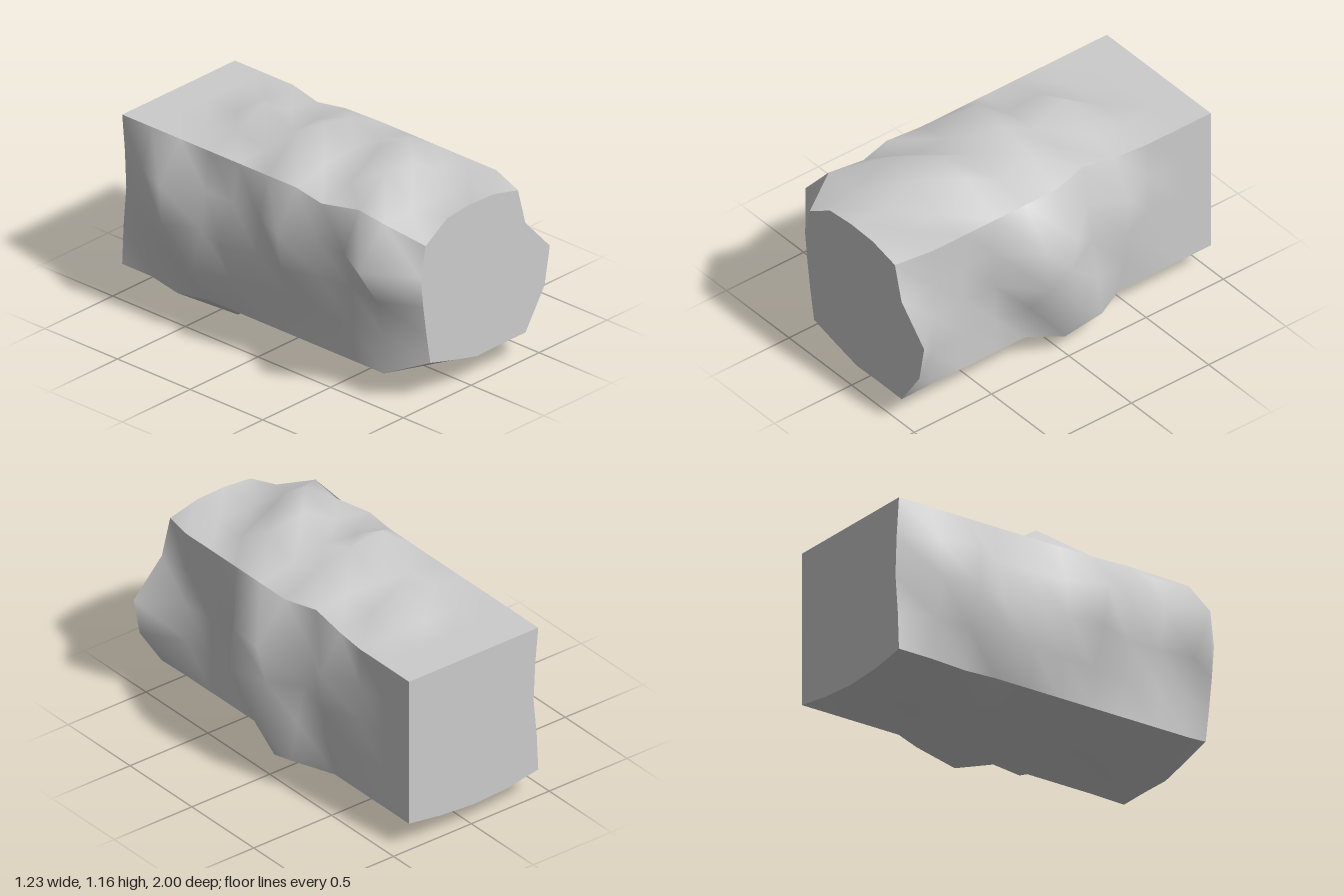
import * as THREE from 'three';

const ROWS = 10, COLS = 4;

// Bulge heights of each side: one triple per row, from the front row to the back row
const SIDES = {
  rightSide: [
    [0.155, 0.207, 0.04], [0, 0, 0], [0, 0, 0], [0, 0, 0], [0.04, 0.21, 0.17], [0.14, 0.09, 0.165],
    [0, 0, 0], [0.06, 0.1, 0.12], [0, 0, 0], [0, 0, 0], [0, 0, 0]],
  topSide: [
    [0.06, 0.083, 0.084], [0, 0, 0], [0.01, 0.115, 0.14], [0.13, 0.155, 0.04], [0.04, 0.07, 0.05], [0.1, 0.145, 0.17],
    [0.02, 0.02, 0.01], [0.03, 0.13, 0.04], [0, 0, 0], [0, 0, 0], [0, 0, 0]],
  leftSide: [
    [0.045, 0.035, 0.02], [0.185, 0.05, 0], [0.1, 0.04, 0.02], [0.04, 0.02, 0], [0.145, 0.11, 0.02], [0.06, 0.08, 0.04],
    [0.04, 0.135, 0.06], [0.03, 0.06, 0.125], [0.15, 0.13, 0.05], [0.07, 0.1, 0.05], [-0.02, -0.03, -0.01]],
  bottomSide: [
    [0.025, 0.045, 0.02], [0.01, 0.02, 0.01], [0.08, 0.135, 0.07], [0.01, 0.03, 0.02], [0.05, 0.1, 0.14], [0.05, 0.07, 0.05],
    [0.05, 0.08, 0.04], [0.155, 0.08, 0.03], [0.04, 0.085, 0.05], [0.03, 0.07, 0.11], [0.035, 0.045, 0.03]],
};
const NAMES = Object.keys(SIDES);

// Corners of the block, counter-clockwise from the bottom right, with the shifted ones by row
const CORNERS = [[0.4, 0.16], [0.4, 1], [-0.43, 1], [-0.43, 0.16]];
const SHIFTED = {
  0: { 0: [0.4, 0.155], 1: [0.345, 0.975], 2: [-0.335, 0.91], 3: [-0.3, 0.24] },
  2: { 2: [-0.4, 1] },
  3: { 2: [-0.46, 0.99] },
  5: { 0: [0.47, 0.11] },
  6: { 0: [0.52, 0.19], 1: [0.36, 1.02] },
  7: { 1: [0.365, 0.985] },
  8: { 3: [-0.45, 0.14] },
};
const corner = (row, i) => new THREE.Vector2(...(SHIFTED[row]?.[i % 4] ?? CORNERS[i % 4]));

// Point on a side: straight chord between two corners pushed outwards by the bulge
function sidePoint(side, row, col) {
  const a = corner(row, side), b = corner(row, side + 1);
  const bulge = col > 0 && col < COLS ? SIDES[NAMES[side]][row][col - 1] : 0;
  const dir = b.clone().sub(a).normalize();
  return a.lerp(b, col / COLS).add(new THREE.Vector2(dir.y, -dir.x).multiplyScalar(bulge));
}

// One rough side as a grid, smooth within itself and sharp at its borders
function sideGeometry(side) {
  const positions = [], index = [];
  for (let r = 0; r <= ROWS; r++) {
    for (let c = 0; c <= COLS; c++) {
      const q = sidePoint(side, r, c);
      positions.push(q.x, q.y, 1 - (2 * r) / ROWS);
      if (r < ROWS && c < COLS) {
        const i = r * (COLS + 1) + c, j = i + COLS + 1;
        index.push(i, j, i + 1, j, j + 1, i + 1);
      }
    }
  }
  const geo = new THREE.BufferGeometry();
  geo.setAttribute('position', new THREE.Float32BufferAttribute(positions, 3));
  geo.setIndex(index);
  geo.computeVertexNormals();
  return geo;
}

// Flat end following the outline of the four sides
function endGeometry(row) {
  const outline = [];
  for (let s = 0; s < 4; s++) {
    for (let c = 0; c < COLS; c++) outline.push(sidePoint(s, row, c));
  }
  return new THREE.ShapeGeometry(new THREE.Shape(outline));
}

export function createModel() {
  const model = new THREE.Group();
  model.name = 'roughBlock';
  const material = new THREE.MeshStandardMaterial({ color: 0xcccccc, side: THREE.DoubleSide });
  const add = (name, geometry, z = 0) => {
    const mesh = new THREE.Mesh(geometry, material);
    mesh.name = name;
    mesh.position.z = z;
    model.add(mesh);
  };

  NAMES.forEach((name, i) => add(name, sideGeometry(i)));
  add('frontEnd', endGeometry(0), 1);
  add('backEnd', endGeometry(ROWS), -1);
  return model;
}
